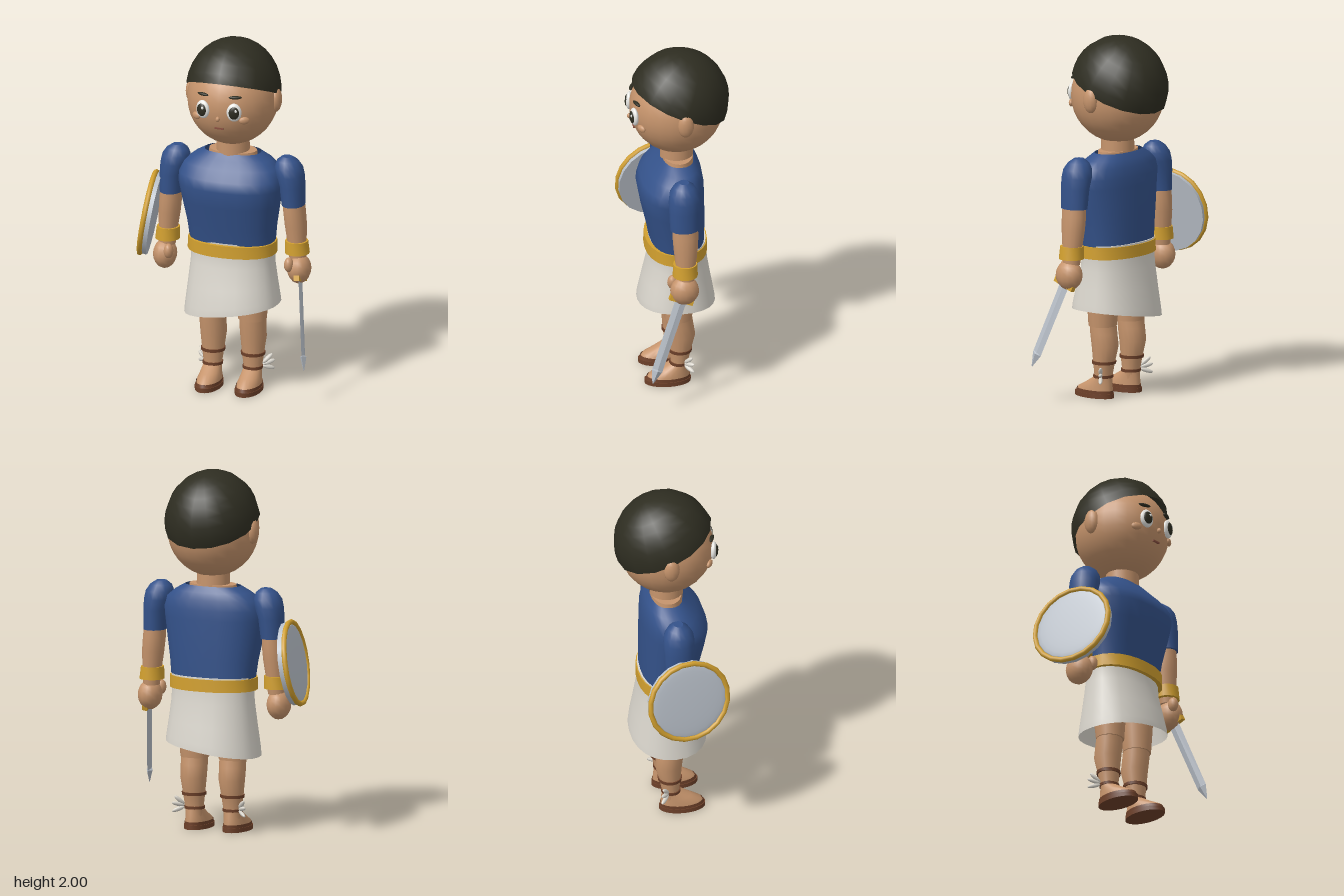
import * as THREE from 'three';

const mat = (name, color) => {
  const m = new THREE.MeshStandardMaterial({ color, side: THREE.DoubleSide });
  m.name = name;
  return m;
};

// Stacked elliptical rings, lowest first: [y, halfWidth, zFront, zBack, xCentre, slopeAlongX]
function loft(rings, { seg = 24, top = true, bottom = true, power = 1, flat = false } = {}) {
  const pos = [], idx = [];
  const bend = v => Math.sign(v) * Math.abs(v) ** power;
  const addRing = ([y, rx, zf, zb, cx = 0, slope = 0]) => {
    const start = pos.length / 3;
    for (let j = 0; j < seg; j++) {
      const a = j / seg * Math.PI * 2;
      const x = rx * bend(Math.cos(a)), z = (zf + zb) / 2 + (zf - zb) / 2 * bend(Math.sin(a));
      pos.push(cx + x, y + slope * x, z);
    }
    return start;
  };
  const starts = rings.map(addRing);
  for (let i = 0; i < rings.length - 1; i++) {
    for (let j = 0; j < seg; j++) {
      const n = (j + 1) % seg, a = starts[i], b = starts[i + 1];
      idx.push(a + j, b + j, b + n, a + j, b + n, a + n);
    }
  }
  const cap = (ring, up) => {
    const s = addRing(ring), c = pos.length / 3;
    pos.push(ring[4] || 0, ring[0], (ring[2] + ring[3]) / 2);
    for (let j = 0; j < seg; j++) {
      const n = (j + 1) % seg;
      idx.push(c, s + (up ? n : j), s + (up ? j : n));
    }
  };
  if (bottom) cap(rings[0], false);
  if (top) cap(rings[rings.length - 1], true);
  let g = new THREE.BufferGeometry();
  g.setAttribute('position', new THREE.Float32BufferAttribute(pos, 3));
  g.setIndex(idx);
  if (flat) g = g.toNonIndexed();
  g.computeVertexNormals();
  return g;
}

const ball = (rx, ry, rz, w = 20, h = 14) => new THREE.SphereGeometry(1, w, h).scale(rx, ry, rz);

function add(parent, name, geo, material, x = 0, y = 0, z = 0) {
  const m = new THREE.Mesh(geo, material);
  m.name = name;
  m.position.set(x, y, z);
  parent.add(m);
  return m;
}

function group(parent, name, x = 0, y = 0, z = 0) {
  const g = new THREE.Group();
  g.name = name;
  g.position.set(x, y, z);
  parent.add(g);
  return g;
}

export function createModel() {
  const skin = mat('skin', 0xc6946c), blue = mat('tunic blue', 0x34528a), gold = mat('gold', 0xd2a02f);
  const cloth = mat('white cloth', 0xdad6cd), steel = mat('steel', 0xb9c0c9), brown = mat('sandal brown', 0x6e412a);
  const dark = mat('dark hair', 0x2e2d21), white = mat('eye white', 0xeeeeea), lip = mat('lip', 0x8a5040);

  const model = new THREE.Group();
  model.name = 'warrior';
  const body = group(model, 'body', 0.033);

  // Head and hair
  const head = group(body, 'head', 0, 1.67, 0);
  add(head, 'skull', ball(0.25, 0.26, 0.26, 24, 18), skin);
  const hair = new THREE.SphereGeometry(1, 16, 8, 0, Math.PI * 2, 0, Math.PI / 2).rotateX(-0.4).scale(0.26, 0.288, 0.28);
  add(head, 'hair', hair, dark, 0, 0.042, -0.01);
  add(head, 'nose', ball(0.012, 0.015, 0.014, 10, 8), skin, 0, -0.045, 0.26);
  add(head, 'mouth', new THREE.BoxGeometry(0.05, 0.009, 0.009), lip, 0, -0.105, 0.238);
  for (const s of [1, -1]) {
    add(head, 'ear', ball(0.032, 0.07, 0.045, 12, 10), skin, s * 0.243, 0.005, -0.015);
    add(head, 'cheek', ball(0.03, 0.021, 0.014, 12, 8), skin, s * 0.138, -0.052, 0.215).rotation.y = s * 0.55;
    const eye = group(head, 'eye', s * 0.09, 0, 0.247);
    eye.rotation.y = s * 0.25;
    add(eye, 'eyeball', ball(0.041, 0.052, 0.02), white);
    add(eye, 'iris', ball(0.029, 0.036, 0.012), dark, 0, 0, 0.013);
    add(eye, 'eyeGlint', ball(0.008, 0.009, 0.004, 8, 6), white, 0.01, 0.014, 0.022);
    const brow = add(head, 'eyebrow', ball(0.038, 0.009, 0.012, 10, 6), dark, s * 0.093, 0.083, 0.235);
    brow.rotation.y = s * 0.35;
  }

  // Neck and torso
  add(body, 'neck', new THREE.CylinderGeometry(0.09, 0.092, 0.14, 20), skin, 0, 1.41, 0);
  add(body, 'collar', loft([[1.33, 0.14, 0.085, -0.09], [1.369, 0.135, 0.082, -0.088]]), skin);
  add(body, 'tunic', loft([
    [0.84, 0.238, 0.15, -0.145], [0.95, 0.25, 0.17, -0.146], [1.08, 0.273, 0.2, -0.145],
    [1.18, 0.29, 0.218, -0.142], [1.235, 0.293, 0.2, -0.14], [1.29, 0.27, 0.155, -0.13],
    [1.33, 0.22, 0.115, -0.115], [1.363, 0.16, 0.085, -0.092],
  ], { power: 0.85, top: false }), blue);

  // Belt and skirt with a slanted hem
  add(body, 'belt', loft([[0.79, 0.25, 0.178, -0.163], [0.858, 0.248, 0.176, -0.162]], { power: 0.9 }), gold);
  add(body, 'skirt', loft([
    [0.46, 0.267, 0.217, -0.207, 0, 0.15], [0.5, 0.263, 0.213, -0.203, 0, 0.13], [0.6, 0.25, 0.19, -0.185, 0, 0.07],
    [0.72, 0.236, 0.16, -0.165], [0.8, 0.232, 0.152, -0.157], [0.866, 0.24, 0.156, -0.155],
  ], { power: 0.9, bottom: false }), cloth);

  for (const s of [1, -1]) {
    // Leg and sandal
    const leg = group(body, s > 0 ? 'leftLeg' : 'rightLeg', s * 0.115);
    add(leg, 'thigh', loft([[0.4, 0.079, 0.085, -0.068], [0.55, 0.09, 0.095, -0.085], [0.84, 0.1, 0.1, -0.1]], { seg: 16 }), skin);
    add(leg, 'shin', loft([
      [0.05, 0.05, 0.05, -0.042], [0.12, 0.051, 0.05, -0.045], [0.2, 0.061, 0.058, -0.062],
      [0.29, 0.072, 0.066, -0.085], [0.36, 0.074, 0.075, -0.074], [0.43, 0.074, 0.078, -0.064],
    ], { seg: 16 }), skin);
    add(leg, 'foot', loft([
      [0.02, 0.065, 0.188, -0.055], [0.05, 0.063, 0.172, -0.054], [0.08, 0.056, 0.115, -0.05], [0.115, 0.05, 0.055, -0.045],
    ], { seg: 20 }), skin);
    add(leg, 'sandalSole', loft([[0, 0.071, 0.195, -0.061], [0.024, 0.071, 0.195, -0.061]]), brown);
    add(leg, 'sandalEdge', loft([[0.024, 0.067, 0.189, -0.057], [0.042, 0.067, 0.182, -0.057]], { top: false, bottom: false }), brown);
    add(leg, 'lowerStrap', loft([[0.112, 0.056, 0.058, -0.05], [0.128, 0.057, 0.058, -0.051]], { seg: 16 }), brown);
    add(leg, 'upperStrap', loft([[0.19, 0.067, 0.064, -0.067], [0.207, 0.068, 0.065, -0.069]], { seg: 16 }), brown);

    // Small ankle wing of three feathers
    for (let k = 0; k < 3; k++) {
      const dir = new THREE.Vector3(s * 0.6, -0.25 + 0.45 * k, -0.5).normalize();
      const root = new THREE.Vector3(s * 0.05, 0.12 + 0.008 * k, -0.02);
      const feather = add(leg, 'wingFeather', ball(0.013, 0.038, 0.011, 8, 6), cloth);
      feather.position.copy(root).addScaledVector(dir, 0.036);
      feather.quaternion.setFromUnitVectors(new THREE.Vector3(0, 1, 0), dir);
    }

    // Arm, sleeve, bracelet and hand
    const arm = group(body, s > 0 ? 'leftArm' : 'rightArm');
    const limb = (name, rings, material, seg = 16) =>
      add(arm, name, loft(rings.map(([y, rx, f, b, cx]) => [y, rx, f, b, cx * s]), { seg }), material);
    limb('sleeve', [
      [1.09, 0.063, 0.09, -0.072, 0.352], [1.2, 0.07, 0.094, -0.078, 0.345], [1.26, 0.079, 0.095, -0.08, 0.332],
      [1.305, 0.078, 0.088, -0.072, 0.324], [1.34, 0.06, 0.065, -0.05, 0.318], [1.362, 0.03, 0.035, -0.02, 0.315],
    ], blue);
    limb('forearm', [
      [0.78, 0.046, 0.055, -0.04, 0.376], [0.87, 0.052, 0.062, -0.05, 0.371], [0.97, 0.06, 0.072, -0.062, 0.364],
      [1.05, 0.061, 0.078, -0.066, 0.357], [1.15, 0.055, 0.075, -0.06, 0.352],
    ], skin);
    limb('bracelet', [[0.812, 0.068, 0.08, -0.06, 0.374], [0.882, 0.063, 0.076, -0.057, 0.37]], gold);
    add(arm, 'hand', ball(0.065, 0.083, 0.08, 14, 10), skin, s * 0.387, 0.722, 0.015);
    add(arm, 'thumb', ball(0.027, 0.042, 0.03, 12, 8), skin, s * 0.347, 0.758, 0.075);
  }

  // Sword, blade pointing down, outward and forward
  const sword = group(model, 'sword', 0.433, 0.672, 0.035);
  sword.quaternion.setFromUnitVectors(new THREE.Vector3(0, -1, 0), new THREE.Vector3(0.078, -0.47, 0.17).normalize());
  add(sword, 'blade', loft([
    [-0.506, 0.002, 0.003, -0.003], [-0.43, 0.018, 0.03, -0.03], [-0.422, 0.008, 0.03, -0.03], [0, 0.007, 0.032, -0.032],
  ], { seg: 4, flat: true }), steel);
  add(sword, 'guard', new THREE.BoxGeometry(0.03, 0.03, 0.135), gold);
  add(sword, 'grip', new THREE.CylinderGeometry(0.016, 0.016, 0.12, 10), gold, 0, 0.06, 0);

  // Round shield on the other arm, facing outward
  const shield = group(model, 'shield', -0.445, 0.955, 0.037);
  shield.quaternion.setFromUnitVectors(new THREE.Vector3(0, 1, 0), new THREE.Vector3(-1, 0.167, 0.19).normalize());
  add(shield, 'shieldPlate', new THREE.CylinderGeometry(0.226, 0.23, 0.04, 20), steel, 0, -0.018, 0);
  add(shield, 'shieldFace', new THREE.SphereGeometry(1, 20, 6, 0, Math.PI * 2, 0, Math.PI / 2).scale(0.215, 0.012, 0.215), steel, 0, 0.002, 0);
  add(shield, 'shieldRim', new THREE.TorusGeometry(0.226, 0.015, 8, 20).rotateX(Math.PI / 2), gold);
  return model;
}
